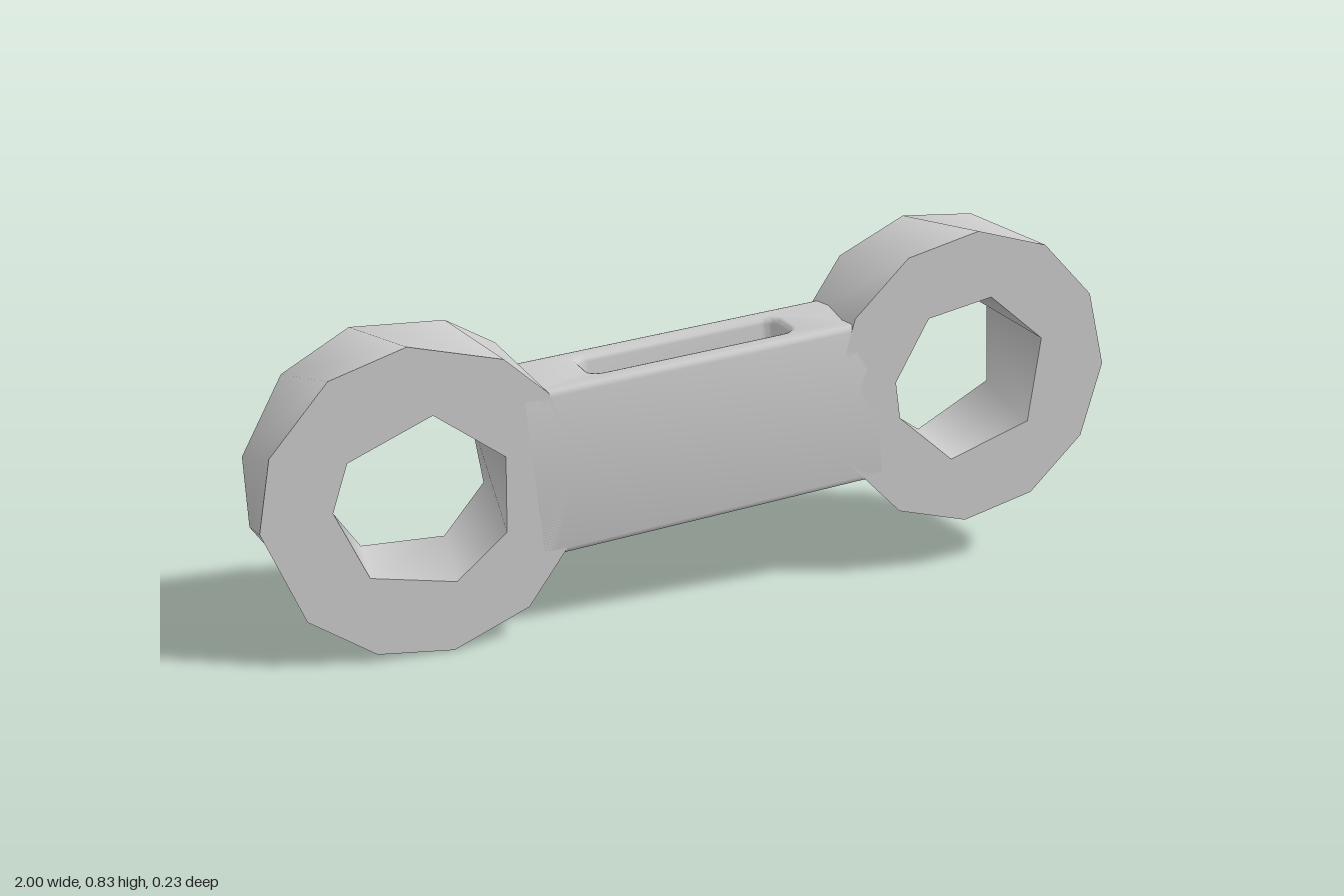
import * as THREE from 'three';
import { toCreasedNormals } from 'three/addons/utils/BufferGeometryUtils.js';

const DEPTH = 0.117;      // half thickness
const OUTER = 0.351, INNER = 0.197;
const LEFT = new THREE.Vector2(0.65, 0.48), RIGHT = new THREE.Vector2(-0.65, 0.35);
const material = new THREE.MeshStandardMaterial({ color: 0xcccccc });

const loop = (degrees, radius, twist = 0) => degrees.map((d) => {
  const a = THREE.MathUtils.degToRad(d + twist);
  return new THREE.Vector2(Math.cos(a) * radius, Math.sin(a) * radius);
});

function addMesh(group, geometry, name) {
  const mesh = new THREE.Mesh(geometry, material);
  mesh.name = name;
  group.add(mesh);
  return mesh;
}

// Flat face of a ring, turned to the back when requested
function capGeometry(outer, inner, z) {
  const shape = new THREE.Shape(outer);
  shape.holes.push(new THREE.Path(inner));
  const g = new THREE.ShapeGeometry(shape);
  if (z < 0) {
    g.setIndex(Array.from(g.index.array).reverse());
    g.attributes.normal.array.forEach((v, i, a) => { a[i] = -v; });
  }
  return g.translate(0, 0, z);
}

// Smooth wall between a front loop and a back loop
function wallGeometry(front, back, sign) {
  const pos = [], normal = [], index = [], n = front.length;
  for (let i = 0; i < n; i++) {
    for (const [p, z] of [[front[i], DEPTH], [back[i], -DEPTH]]) {
      const r = p.clone().normalize().multiplyScalar(sign);
      pos.push(p.x, p.y, z);
      normal.push(r.x, r.y, 0);
    }
    const f = 2 * i, b = f + 1, f2 = 2 * ((i + 1) % n), b2 = f2 + 1;
    if (sign > 0) index.push(f, b, b2, f, b2, f2);
    else index.push(f, b2, b, f, f2, b2);
  }
  const g = new THREE.BufferGeometry();
  g.setAttribute('position', new THREE.Float32BufferAttribute(pos, 3));
  g.setAttribute('normal', new THREE.Float32BufferAttribute(normal, 3));
  g.setIndex(index);
  return g;
}

// Faceted eye with slightly twisted front and back outlines
function makeEye(name, center, outerAngles, holeAngles) {
  const eye = new THREE.Group();
  eye.name = name;
  const of = loop(outerAngles, OUTER), ob = loop(outerAngles, OUTER, 12);
  const hf = loop(holeAngles, INNER), hb = loop(holeAngles, INNER, 10);
  addMesh(eye, capGeometry(of, hf, DEPTH), 'frontFace');
  addMesh(eye, capGeometry(ob, hb, -DEPTH), 'backFace');
  addMesh(eye, wallGeometry(of, ob, 1), 'outerWall');
  addMesh(eye, wallGeometry(hf, hb, -1), 'holeWall');
  eye.position.set(center.x, center.y, 0);
  return eye;
}

// Rounded rectangle outline for the slot
function slotPath(w, h, r) {
  const p = new THREE.Path();
  p.absarc(w - r, h - r, r, 0, Math.PI / 2);
  p.absarc(-w + r, h - r, r, Math.PI / 2, Math.PI);
  p.absarc(-w + r, -h + r, r, Math.PI, Math.PI * 1.5);
  p.absarc(w - r, -h + r, r, Math.PI * 1.5, Math.PI * 2);
  return p;
}

// Bar with softened edges and a slot running through its height
function makeBar() {
  const w = 0.41, h = DEPTH, bevel = 0.015, height = 0.38;
  const shape = new THREE.Shape([
    new THREE.Vector2(-w, -h), new THREE.Vector2(w, -h),
    new THREE.Vector2(w, h), new THREE.Vector2(-w, h),
  ]);
  shape.holes.push(slotPath(0.24, 0.06, 0.03));
  let g = new THREE.ExtrudeGeometry(shape, {
    depth: height - 2 * bevel, bevelEnabled: true, bevelThickness: bevel,
    bevelSize: bevel, bevelOffset: -bevel, bevelSegments: 3, curveSegments: 4,
  });
  g.translate(0, 0, bevel - height / 2).rotateX(-Math.PI / 2);
  g = toCreasedNormals(g, 0.7);
  return g;
}

export function createModel() {
  const model = new THREE.Group();
  model.name = 'linkArm';
  model.add(makeEye('leftEye', LEFT,
    Array.from({ length: 12 }, (_, i) => i * 30),
    [-158, -103, -38, 24, 78, 127, 176]));
  model.add(makeEye('rightEye', RIGHT,
    [-177, -139, -110, -82, -51, -20, 10, 38, 59, 94, 123, 156],
    [-130, -72, -27, 25, 83, 145, 178]));

  const bar = addMesh(model, makeBar(), 'slottedBar');
  const span = LEFT.clone().sub(RIGHT);
  bar.position.set(0, (LEFT.y + RIGHT.y) / 2, 0);
  bar.rotation.z = span.angle();
  return model;
}
